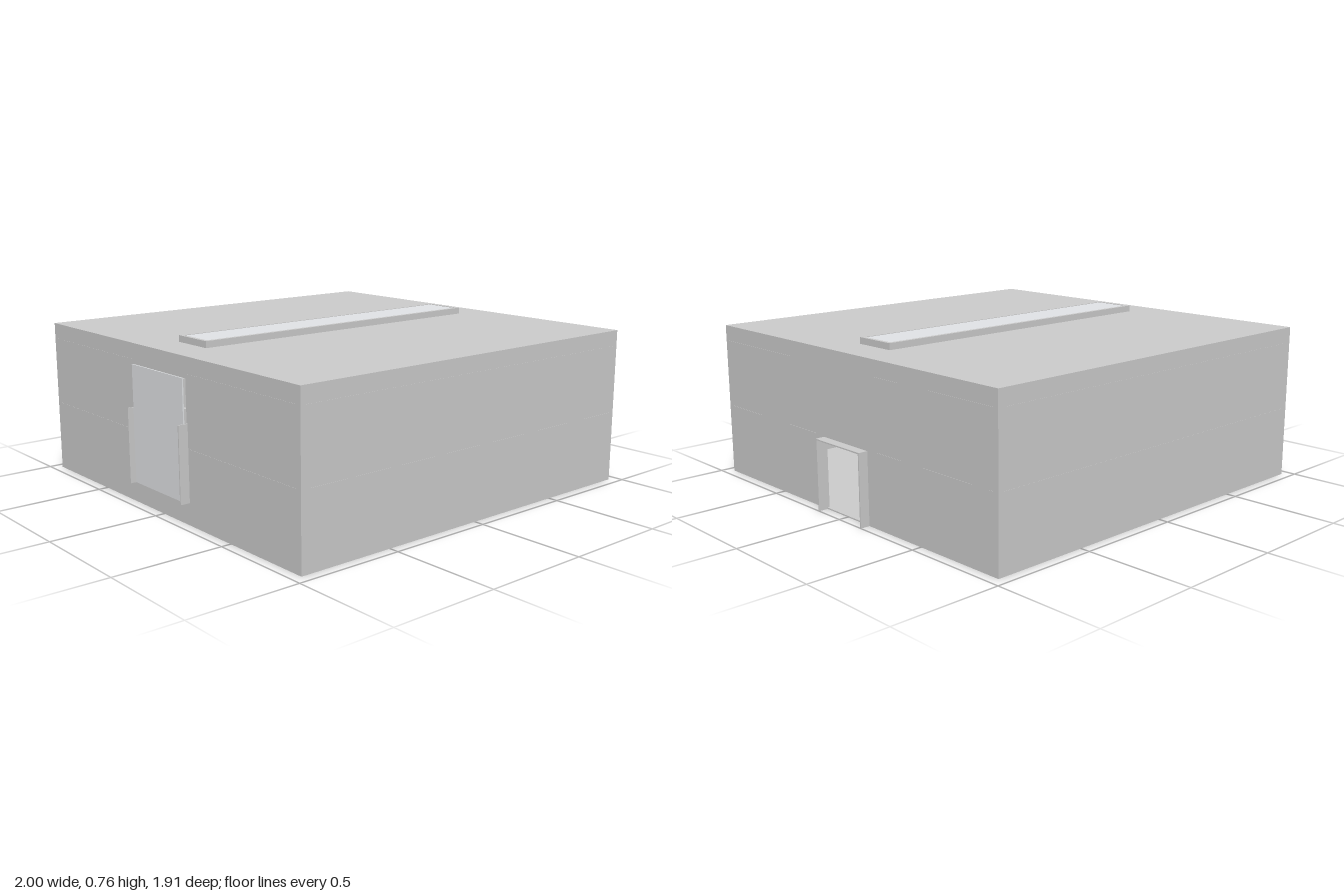
import * as THREE from 'three';

const W = 0.955, H = 0.73, T = 0.012; // half width, height, shell thickness

export function createModel() {
  const model = new THREE.Group();
  model.name = 'hall';
  const wallGrey = new THREE.MeshStandardMaterial({ color: 0xcccccc });
  wallGrey.name = 'wall grey';
  const glass = new THREE.MeshStandardMaterial({ color: 0xe3e5e8 });
  glass.name = 'pale glass';

  const add = (name, geometry, material = wallGrey) => {
    const mesh = new THREE.Mesh(geometry, material);
    mesh.name = name;
    model.add(mesh);
    return mesh;
  };
  // Box given by its limits on each axis
  const box = (name, [x0, x1], [y0, y1], [z0, z1], material) =>
    add(name, new THREE.BoxGeometry(x1 - x0, y1 - y0, z1 - z0), material)
      .position.set((x0 + x1) / 2, (y0 + y1) / 2, (z0 + z1) / 2);

  const rect = (Type, a0, a1, b0, b1) => new Type([
    [a0, b0], [a1, b0], [a1, b1], [a0, b1],
  ].map(([a, b]) => new THREE.Vector2(a, b)));
  const plateWithHole = (outer, hole, depth) => {
    const shape = rect(THREE.Shape, ...outer);
    shape.holes.push(rect(THREE.Path, ...hole));
    return new THREE.ExtrudeGeometry(shape, { depth, bevelEnabled: false });
  };

  // Shell: floor, closed front and back, side walls with openings
  box('floor', [-W, W], [0, 0.004], [-W, W]);
  box('frontWall', [-W + T, W - T], [0.004, H - T], [W - T, W]);
  box('backWall', [-W + T, W - T], [0.004, H - T], [-W, -W + T]);
  const sideWall = (name, x, hole) => {
    const geo = plateWithHole([-W, W, 0.004, H - T], hole, T).rotateY(-Math.PI / 2);
    add(name, geo).position.x = x;
  };
  sideWall('leftWall', W, [-0.153, 0.153, 0.006, 0.325]);
  sideWall('rightWall', -W + T, [-0.2, 0.2, 0.1, 0.635]);

  // Roof with a long skylight opening
  const roof = plateWithHole([-W, W, -W, W], [-0.77, 0.77, -0.09, 0.09], T).rotateX(-Math.PI / 2);
  add('roof', roof).position.y = H - T;
  const curb = plateWithHole([-0.785, 0.785, -0.105, 0.105], [-0.768, 0.768, -0.088, 0.088], 0.03).rotateX(-Math.PI / 2);
  add('skylightFrame', curb).position.y = H;
  box('skylightGlass', [-0.768, 0.768], [0.751, 0.758], [-0.088, 0.088], glass);
  for (let i = 1; i < 8; i++) {
    const x = -0.768 + i * 0.192;
    box('skylightBar', [x - 0.005, x + 0.005], [0.735, 0.751], [-0.088, 0.088]);
  }

  // Doorway surround: two cheeks and a lintel
  for (const s of [-1, 1]) {
    const z = s * 0.154;
    box('doorCheek', [W, 1], [0, 0.325], [z - 0.003, z + 0.003]);
  }
  box('doorLintel', [W, 1], [0.325, 0.331], [-0.157, 0.157]);

  // Tall window: pane just proud of the wall, bars inside, fins outside
  box('windowPane', [-0.972, -0.966], [0.1, 0.64], [-0.2, 0.2], glass);
  for (const z of [-0.105, 0, 0.105]) {
    const r = z === 0 ? 0.004 : 0.0025;
    box('windowUpright', [-0.966, -0.945], [0.1, 0.635], [z - r, z + r]);
  }
  for (const y of [0.105, 0.237, 0.37, 0.503, 0.631]) {
    box('windowCrossbar', [-0.966, -0.945], [y - 0.005, y + 0.005], [-0.2, 0.2]);
  }
  for (const s of [-1, 1]) {
    const z = s * 0.204;
    box('windowFin', [-1, -W], [0.1, 0.445], [z - 0.003, z + 0.003]);
  }

  // Fine horizontal seams, broken at the openings
  const P = W + 0.001;
  for (const y of [0.335, 0.655]) {
    const h = [y - 0.002, y + 0.002];
    for (const s of [-1, 1]) {
      box('wallSeam', [-0.93, 0.93], h, s > 0 ? [W, P] : [-P, -W]);
      const z = s > 0 ? [0.22, 0.93] : [-0.93, -0.22];
      box('leftSeam', [W, P], h, z);
      box('rightSeam', [-P, -W], h, z);
    }
  }
  return model;
}
